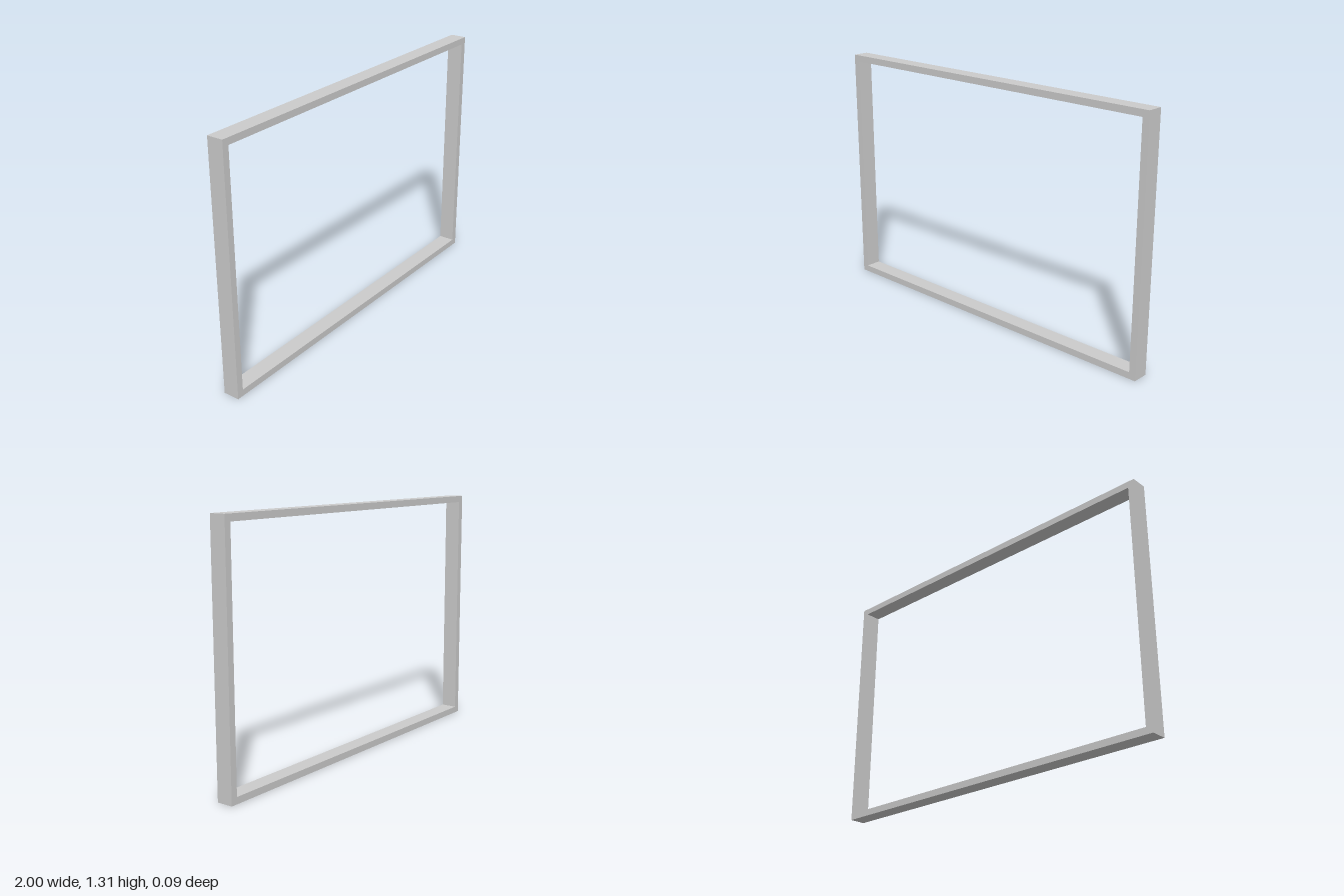
import * as THREE from 'three';

const WIDTH = 2, HEIGHT = 1.314, DEPTH = 0.087, BORDER = 0.035;

// Rectangular outline centred on x, inset from the outer edge
function rectangle(Type, inset) {
  const x = WIDTH / 2 - inset, y0 = inset, y1 = HEIGHT - inset;
  return new Type([
    new THREE.Vector2(-x, y0), new THREE.Vector2(x, y0),
    new THREE.Vector2(x, y1), new THREE.Vector2(-x, y1),
  ]);
}

export function createModel() {
  const group = new THREE.Group();
  group.name = 'rectangularFrame';

  // Open frame: outer rectangle with the opening cut out
  const shape = rectangle(THREE.Shape, 0);
  shape.holes.push(rectangle(THREE.Path, BORDER));
  const geometry = new THREE.ExtrudeGeometry(shape, { depth: DEPTH, bevelEnabled: false });
  geometry.translate(0, 0, -DEPTH / 2);

  const frame = new THREE.Mesh(geometry, new THREE.MeshStandardMaterial({ color: 0xcccccc }));
  frame.name = 'frame';
  group.add(frame);
  return group;
}
